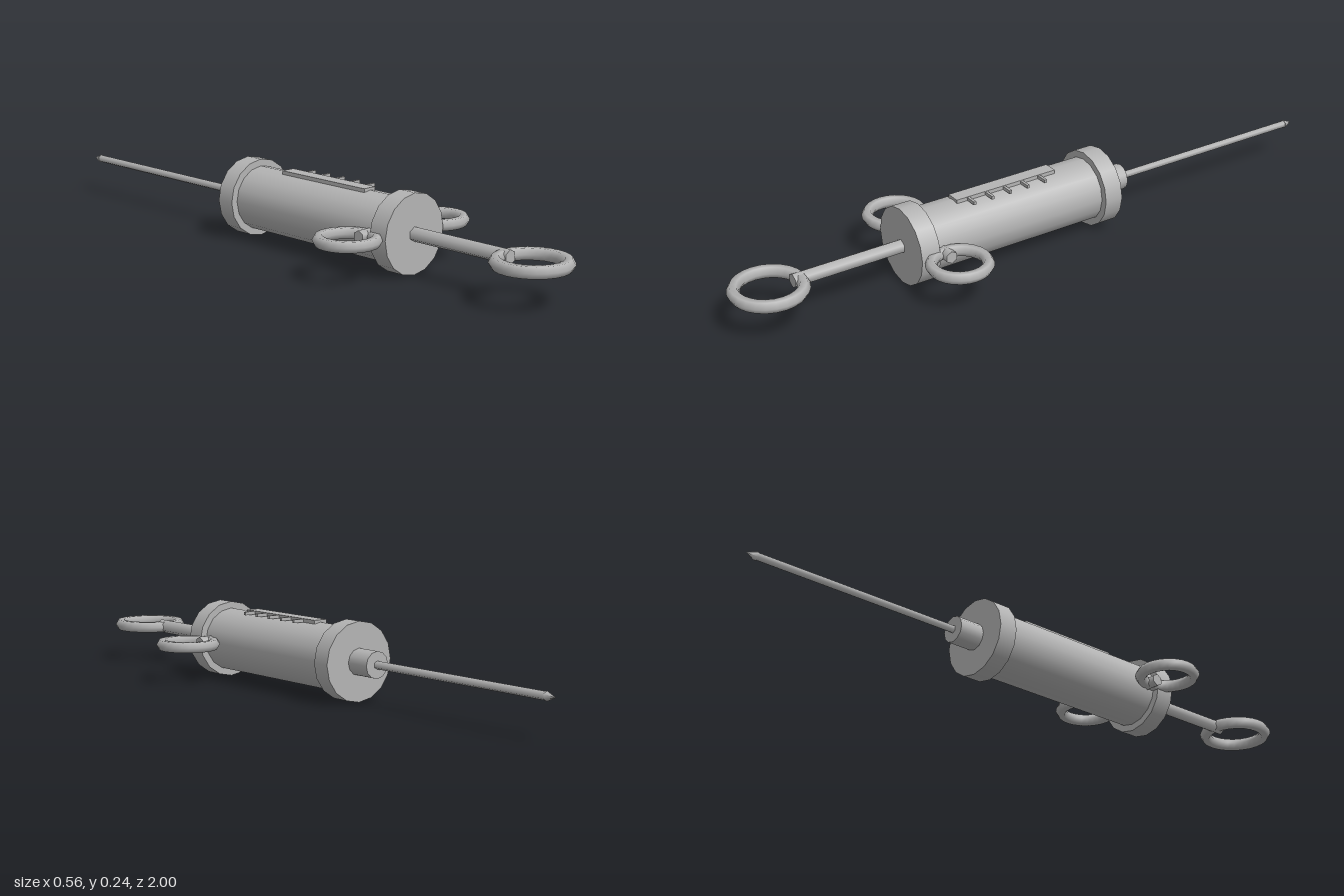
import * as THREE from 'three';

export function createModel() {
  const model = new THREE.Group();
  model.name = 'syringe';
  const steel = new THREE.MeshStandardMaterial({ color: 0xb4b4b4 });
  steel.name = 'steel grey';
  const axisY = 0.118;

  function add(name, geometry, x, y, z) {
    const mesh = new THREE.Mesh(geometry, steel);
    mesh.name = name;
    mesh.position.set(x, y, z);
    model.add(mesh);
    return mesh;
  }

  // Cylinder along z, from z0 (back) to z1 (front)
  function rod(name, z0, z1, rBack, rFront, sides) {
    const g = new THREE.CylinderGeometry(rFront, rBack, z1 - z0, sides).rotateX(Math.PI / 2);
    return add(name, g, 0, axisY, (z0 + z1) / 2);
  }

  // Flat-lying finger ring with a six-sided section
  function ring(name, x, z, radius, tube) {
    add(name, new THREE.TorusGeometry(radius, tube, 6, 24).rotateX(Math.PI / 2), x, axisY, z);
  }

  // Barrel and its end collars
  rod('barrel', -0.17, 0.42, 0.097, 0.097, 16);
  rod('frontCollar', 0.41, 0.47, 0.118, 0.118, 16);
  rod('backCollar', -0.224, -0.165, 0.118, 0.118, 16);

  // Needle
  rod('needleHub', -0.304, -0.22, 0.04, 0.04, 12);
  rod('needle', -0.972, -0.3, 0.012, 0.012, 6);
  rod('needleTip', -1, -0.968, 0, 0.014, 6);

  // Plunger with thumb ring
  rod('plungerRod', 0.46, 0.813, 0.0215, 0.0215, 6);
  ring('thumbRing', 0, 0.885, 0.096, 0.019);

  // Side finger rings on short studs
  for (const [side, s] of [['left', 1], ['right', -1]]) {
    ring(side + 'FingerRing', s * 0.18, 0.386, 0.08, 0.018);
    const stud = new THREE.CylinderGeometry(0.019, 0.019, 0.05, 6)
      .rotateX(Math.PI / 2).rotateY(Math.PI / 2);
    add(side + 'RingStud', stud, s * 0.113, axisY, 0.386);
  }

  // Raised scale strip and graduation ticks
  add('scaleStrip', new THREE.BoxGeometry(0.044, 0.014, 0.34), 0, 0.215, 0.125);
  for (let i = 0; i < 5; i++) {
    add('scaleTick' + (i + 1), new THREE.BoxGeometry(0.04, 0.01, 0.008), 0.038, 0.216, 0.012 + i * 0.061);
  }

  return model;
}
